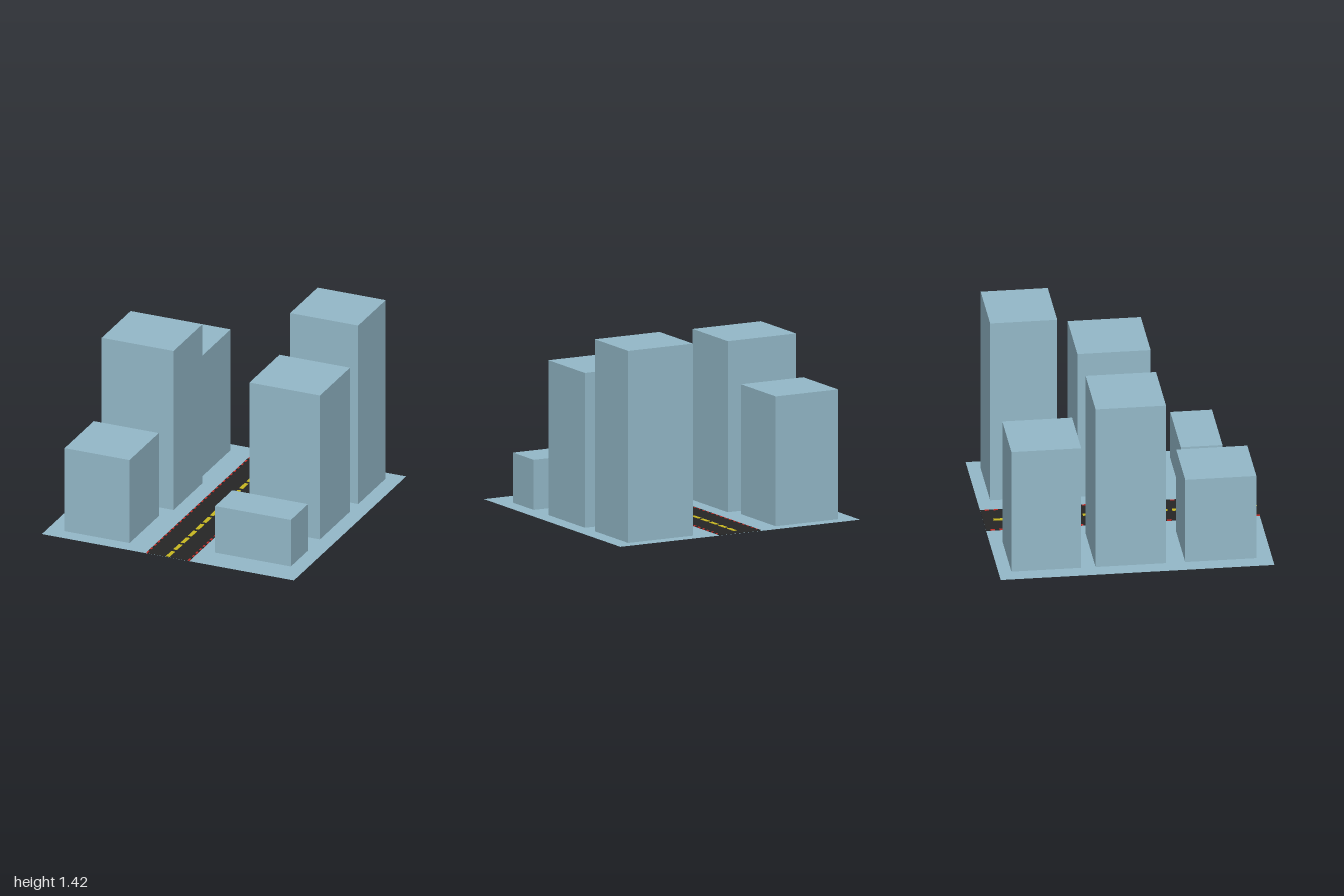
import * as THREE from 'three';

export function createModel() {
  const city = new THREE.Group();
  city.name = 'cityBlock';

  const material = (color) => new THREE.MeshStandardMaterial({ color, side: THREE.DoubleSide });
  const blue = material(0x94b9c9);
  const asphalt = material(0x262626);
  const yellow = material(0xc8b820);
  const red = material(0xc82d28);

  const add = (parent, name, geometry, mat, x = 0, y = 0, z = 0) => {
    const mesh = new THREE.Mesh(geometry, mat);
    mesh.name = name;
    mesh.position.set(x, y, z);
    parent.add(mesh);
    return mesh;
  };

  // Rectangle outline from two opposite corners
  const rectangle = (path, x0, y0, x1, y1) =>
    path.moveTo(x0, y0).lineTo(x1, y0).lineTo(x1, y1).lineTo(x0, y1).closePath();

  // Thin ground sheet, open beneath the hollow front left block
  const sheet = rectangle(new THREE.Shape(), -1, -1, 1, 1);
  sheet.holes.push(rectangle(new THREE.Path(), -0.87, -0.885, -0.41, -0.365));
  add(city, 'ground', new THREE.ShapeGeometry(sheet).rotateX(-Math.PI / 2), blue);

  // Buildings: [name, x0, x1, z0, z1, height], hollow with no floor
  const buildings = [
    ['backWestTower', -0.87, -0.35, -0.905, -0.395, 0.96],
    ['middleWestTower', -0.87, -0.3, -0.29, 0.225, 1.265],
    ['frontWestBlock', -0.87, -0.355, 0.365, 0.885, 0.66],
    ['backEastTower', 0.34, 0.88, -0.905, -0.415, 1.42],
    ['middleEastTower', 0.32, 0.88, -0.27, 0.265, 1.145],
    ['frontEastBlock', 0.28, 0.88, 0.48, 0.785, 0.37],
  ];
  for (const [name, x0, x1, z0, z1, h] of buildings) {
    const box = new THREE.BoxGeometry(x1 - x0, h, z1 - z0);
    // Drop the bottom face (fourth of six, six indices each)
    const index = Array.from(box.index.array);
    index.splice(18, 6);
    box.setIndex(index);
    box.clearGroups();
    add(city, name, box, blue, (x0 + x1) / 2, h / 2, (z0 + z1) / 2);
  }

  // Road surface
  add(city, 'road', new THREE.BoxGeometry(0.33, 0.004, 2), asphalt, 0, 0.003, 0);

  // Dashed centre line
  const centreLine = new THREE.Group();
  centreLine.name = 'centreLine';
  city.add(centreLine);
  const dash = new THREE.BoxGeometry(0.03, 0.004, 0.097);
  for (let i = 0; i < 15; i++) {
    add(centreLine, 'centreDash', dash, yellow, 0, 0.006, -0.876 + i * 0.1305);
  }

  // Kerbs in alternating red and dark pieces
  const count = 62;
  const piece = 2 / count;
  const kerbPiece = new THREE.BoxGeometry(0.012, 0.007, piece);
  for (const side of [-1, 1]) {
    const kerb = new THREE.Group();
    kerb.name = side > 0 ? 'leftKerb' : 'rightKerb';
    city.add(kerb);
    for (let i = 0; i < count; i++) {
      add(kerb, 'kerbPiece', kerbPiece, i % 2 ? red : asphalt, side * 0.165, 0.0045, -1 + (i + 0.5) * piece);
    }
  }

  return city;
}
